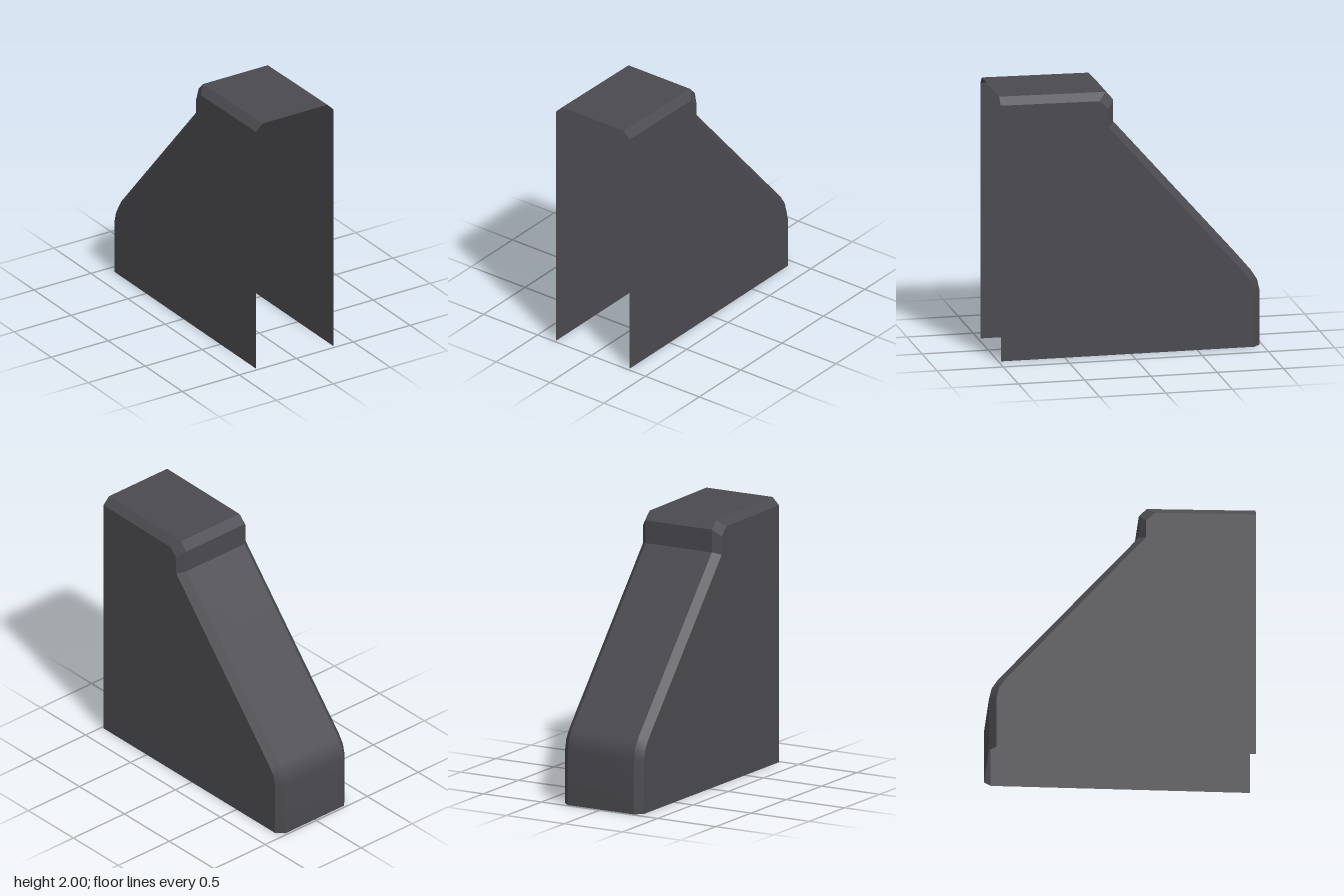
import * as THREE from 'three';

const HALF = 0.34; // half width at the side panels
const RIM = 0.285; // half width at the top of the bevel

// Side profiles as [z, y], from the open front over the top and down the back
const outer = [[0.983, 2], [0.18, 1.99], [0.122, 1.928], [0.122, 1.756],
  [-0.916, 0.572], [-0.963, 0.498], [-0.983, 0.41], [-0.983, 0]];
const inner = [[0.983, 1.945], [0.238, 1.936], [0.172, 1.872], [0.172, 1.735],
  [-0.867, 0.552], [-0.911, 0.483], [-0.93, 0.4], [-0.93, 0]];

// Runs of profile points that shade smoothly; runs meet at sharp edges
const runs = [[0, 1], [1, 2], [2, 3], [3, 4, 5, 6, 7]];

// Strip between two lengthwise edges, edge a on the -x side of edge b
function strip(run, profileA, xA, profileB, xB) {
  const pos = [], index = [];
  run.forEach((p, i) => {
    pos.push(xA, profileA[p][1], profileA[p][0], xB, profileB[p][1], profileB[p][0]);
    if (i > 0) {
      const k = 2 * (i - 1);
      index.push(k, k + 1, k + 2, k + 1, k + 3, k + 2);
    }
  });
  const geo = new THREE.BufferGeometry();
  geo.setAttribute('position', new THREE.Float32BufferAttribute(pos, 3));
  geo.setIndex(index);
  geo.computeVertexNormals();
  return geo;
}

export function createModel() {
  const model = new THREE.Group();
  model.name = 'coverShell';
  const charcoal = new THREE.MeshStandardMaterial({ color: 0x4b4a4f, side: THREE.DoubleSide });
  charcoal.name = 'charcoal';

  const add = (name, geo) => {
    const mesh = new THREE.Mesh(geo, charcoal);
    mesh.name = name;
    model.add(mesh);
    return mesh;
  };

  // Top, lip and sloping back, with a bevel along both sides
  const names = ['top', 'lipBevel', 'lipBack', 'slopeAndBack'];
  runs.forEach((run, i) => {
    add(names[i], strip(run, outer, -RIM, outer, RIM));
    add(names[i] + 'LeftBevel', strip(run, outer, RIM, inner, HALF));
    add(names[i] + 'RightBevel', strip(run, inner, -HALF, outer, -RIM));
  });

  // Flat side panels; the shell stays open at the front and bottom
  const outline = [[0.983, 0], ...inner.slice().reverse()];
  const shape = new THREE.Shape(outline.map(([z, y]) => new THREE.Vector2(-z, y)));
  const panel = new THREE.ShapeGeometry(shape).rotateY(Math.PI / 2).translate(HALF, 0, 0);
  add('leftPanel', panel);
  add('rightPanel', panel).scale.x = -1;

  return model;
}
